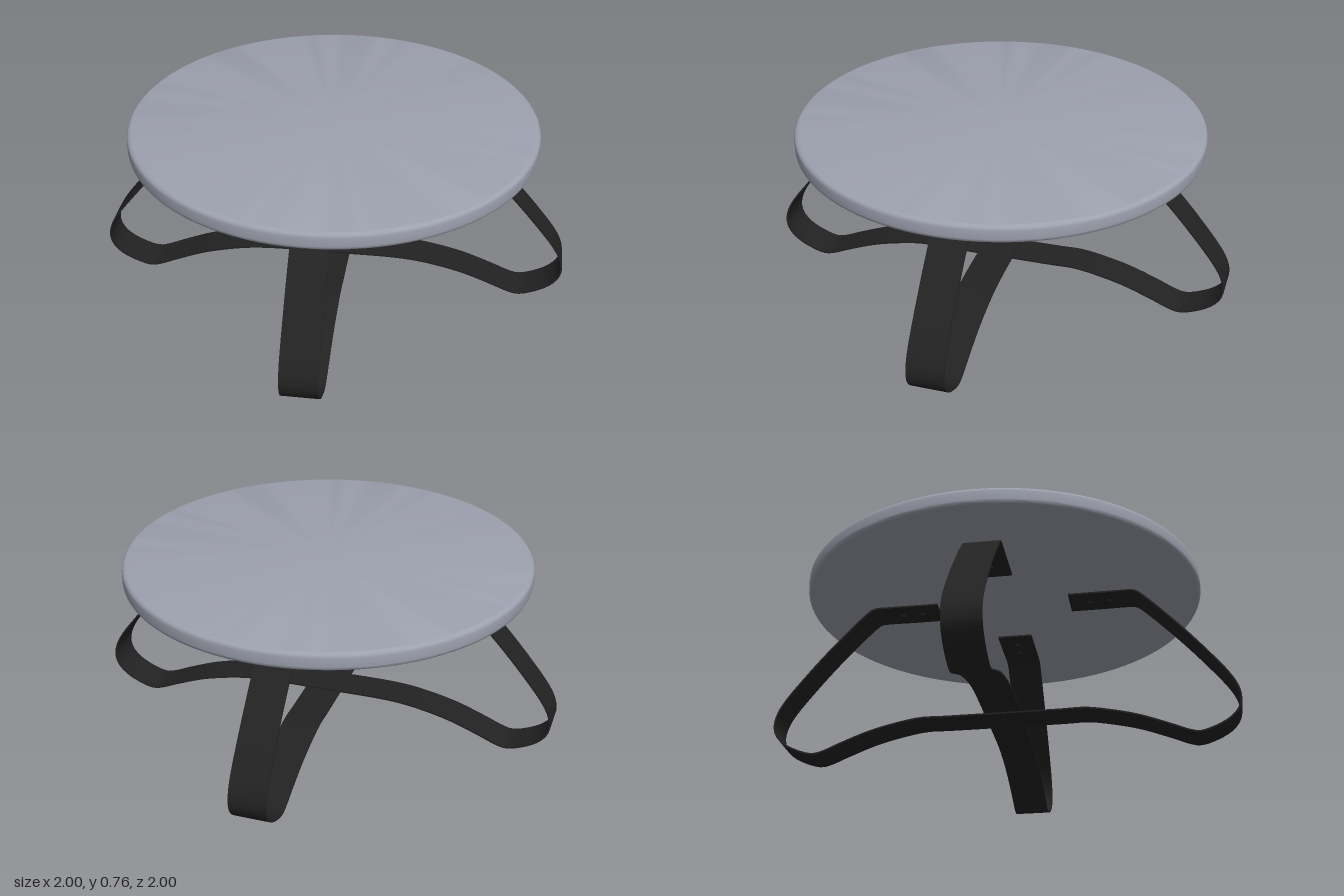
import * as THREE from 'three';
import { toCreasedNormals } from 'three/addons/utils/BufferGeometryUtils.js';

const topMaterial = new THREE.MeshStandardMaterial({ color: 0x9da1ae });
topMaterial.name = 'greyTop';
const strapMaterial = new THREE.MeshStandardMaterial({ color: 0x222222 });
strapMaterial.name = 'blackSteel';

const WIDTH = 0.155, THICK = 0.007;

function addMesh(parent, name, geometry, material) {
  const mesh = new THREE.Mesh(geometry, material);
  mesh.name = name;
  parent.add(mesh);
  return mesh;
}

// Round slab with softly rounded upper and lower rims
function tabletopGeometry() {
  const R = 0.862, y0 = 0.683, y1 = 0.759, r = 0.02;
  const points = [new THREE.Vector2(0, y0)];
  for (const [cy, start] of [[y0 + r, -Math.PI / 2], [y1 - r, 0]]) {
    for (let i = 0; i <= 5; i++) {
      const a = start + (i / 5) * Math.PI / 2;
      points.push(new THREE.Vector2(R - r + r * Math.cos(a), cy + r * Math.sin(a)));
    }
  }
  points.push(new THREE.Vector2(0, y1));
  return toCreasedNormals(new THREE.LatheGeometry(points, 96), 0.5);
}

// One bent strap: mounting tab, leg, foot bend, arched stretcher, mirrored
function strapGeometry(middle) {
  const half = [
    [0.29, 0.679], [0.42, 0.679], [0.56, 0.679], [0.58, 0.676], [0.65, 0.613], [0.71, 0.55],
    [0.77, 0.485], [0.87, 0.367], [0.955, 0.256], [0.985, 0.2], [0.9965, 0.146],
    [0.985, 0.1], [0.947, 0.057], [0.88, 0.021], [0.82, 0.0045], [0.78, 0.012],
    [0.7, 0.045], [0.57, 0.094], [0.44, 0.126], [0.35, 0.14], [0.25, middle],
  ];
  const left = half.map(([x, y]) => new THREE.Vector3(x, y, 0));
  const right = half.map(([x, y]) => new THREE.Vector3(-x, y, 0)).reverse();
  const curve = new THREE.CatmullRomCurve3(
    [...left, new THREE.Vector3(0, middle, 0), ...right], false, 'centripetal');
  const outer = [], inner = [], n = 180;
  for (let i = 0; i <= n; i++) {
    const p = curve.getPointAt(i / n), t = curve.getTangentAt(i / n);
    const nx = -t.y * THICK / 2, ny = t.x * THICK / 2;
    outer.push(new THREE.Vector2(p.x + nx, p.y + ny));
    inner.push(new THREE.Vector2(p.x - nx, p.y - ny));
  }
  const geometry = new THREE.ExtrudeGeometry(new THREE.Shape([...outer, ...inner.reverse()]),
    { depth: WIDTH, bevelEnabled: false });
  geometry.translate(0, 0, -WIDTH / 2);
  return toCreasedNormals(geometry, 0.6);
}

export function createModel() {
  const model = new THREE.Group();
  model.name = 'roundTable';
  addMesh(model, 'tabletop', tabletopGeometry(), topMaterial);

  // Two crossing straps, one lying over the other at the centre
  const screw = new THREE.CylinderGeometry(0.014, 0.01, 0.01, 16);
  [['crossStrap', 0.146, 0], ['lengthStrap', 0.139, Math.PI / 2]].forEach(([name, middle, turn]) => {
    const base = new THREE.Group();
    base.name = name + 'Base';
    base.rotation.y = turn;
    addMesh(base, name, strapGeometry(middle), strapMaterial);
    // Screw heads under the mounting tabs
    for (const x of [-0.46, -0.375, 0.375, 0.46]) {
      addMesh(base, 'tabScrew', screw, strapMaterial).position.set(x, 0.671, 0);
    }
    model.add(base);
  });

  // Bolt joining the straps
  addMesh(model, 'centreBolt', new THREE.CylinderGeometry(0.014, 0.014, 0.018, 16), strapMaterial)
    .position.y = 0.1425;
  return model;
}
